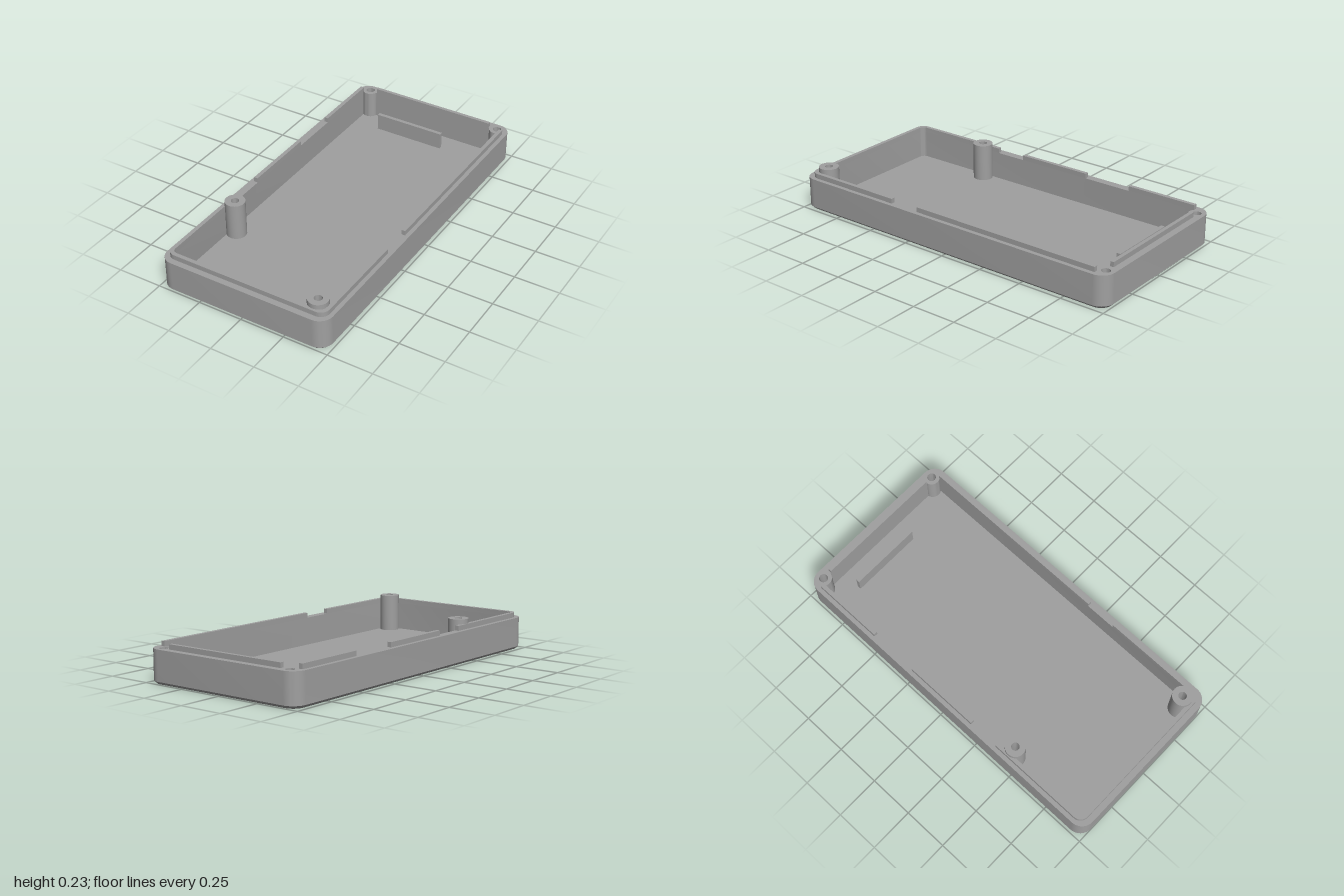
import * as THREE from 'three';
import { toCreasedNormals } from 'three/addons/utils/BufferGeometryUtils.js';

const HX = 0.488, HZ = 1, R = 0.075;          // outer half sizes and corner radius
const IX = 0.443, IZ = 0.945;                 // inner wall face
const LX = 0.465, LZ = 0.967;                 // outer face of the lip
const CHAMFER = 0.015, FLOOR = 0.025, RIM = 0.18, LIP = 0.207;

// Screw posts: position, radius, bore and height
const POSTS = [
  { name: 'backLeftPost', x: 0.417, z: -0.953, r: 0.045, bore: 0.024, top: RIM },
  { name: 'backRightPost', x: -0.417, z: -0.953, r: 0.045, bore: 0.024, top: RIM },
  { name: 'tallRightPost', x: -0.405, z: 0.455, r: 0.055, bore: 0.022, top: 0.233 },
  { name: 'tallFrontPost', x: 0.39, z: 0.9, r: 0.055, bore: 0.022, top: 0.233 },
];
const SINK = 0.035;                           // countersink radius

// Points of an arc; shapes are drawn with y = -z
function arc(cx, cy, r, a0, a1, n = 12) {
  return Array.from({ length: n + 1 }, (_, i) => {
    const a = a0 + (a1 - a0) * i / n;
    return new THREE.Vector2(cx + r * Math.cos(a), cy + r * Math.sin(a));
  });
}

function roundedRect(hx, hz, r) {
  const q = Math.PI / 2;
  return [[1, 1], [-1, 1], [-1, -1], [1, -1]].flatMap(([sx, sy], i) =>
    arc(sx * (hx - r), sy * (hz - r), r, i * q, (i + 1) * q));
}

function extrudeUp(shape, y0, y1) {
  const g = new THREE.ExtrudeGeometry(shape, { depth: y1 - y0, bevelEnabled: false });
  g.rotateX(-Math.PI / 2).translate(0, y0, 0);
  return toCreasedNormals(g, 0.5);
}

// Inner wall outline, relieved around the two back posts
function innerOutline() {
  const r = 0.03, q = Math.PI / 2, { x, z } = POSTS[0];
  const dx = IX - x, dy = -z - IZ;
  const a0 = -Math.acos(dx / SINK);
  const a1 = Math.PI - Math.asin(-dy / SINK);
  const right = arc(x, -z, SINK, a0, a1, 24);
  const left = right.map(p => new THREE.Vector2(-p.x, p.y)).reverse();
  return [...right, ...left,
    ...arc(-IX + r, -IZ + r, r, 2 * q, 3 * q),
    ...arc(IX - r, -IZ + r, r, 3 * q, 4 * q)];
}

// Sloped band between the base and the wall
function chamferBand() {
  const low = roundedRect(HX - CHAMFER, HZ - CHAMFER, R - CHAMFER);
  const high = roundedRect(HX, HZ, R);
  const pos = [], idx = [], n = low.length;
  for (let i = 0; i < n; i++) {
    pos.push(low[i].x, 0, -low[i].y, high[i].x, CHAMFER, -high[i].y);
    const a = 2 * i, b = 2 * ((i + 1) % n);
    idx.push(a, b, b + 1, a, b + 1, a + 1);
  }
  const g = new THREE.BufferGeometry();
  g.setAttribute('position', new THREE.Float32BufferAttribute(pos, 3));
  g.setIndex(idx);
  return toCreasedNormals(g, 0.5);
}

// Flat sheet with round openings at the posts
function sheet(outline, y, faceUp) {
  const shape = new THREE.Shape(outline);
  for (const p of POSTS) {
    // back post openings break the floor edge, which the wall already relieves
    shape.holes.push(new THREE.Path(arc(p.x, -p.z, SINK, 0, 2 * Math.PI, 32).slice(0, -1)));
  }
  const g = new THREE.ShapeGeometry(shape);
  g.rotateX(-Math.PI / 2).translate(0, y, 0);
  if (!faceUp) {
    const ix = g.index.array;
    for (let i = 0; i < ix.length; i += 3) [ix[i], ix[i + 1]] = [ix[i + 1], ix[i]];
    g.computeVertexNormals();
  }
  return g;
}

export function createModel() {
  const model = new THREE.Group();
  const grey = new THREE.MeshStandardMaterial({ color: 0xa0a0a0 });
  grey.name = 'plastic grey';
  const add = (name, geometry) => {
    const mesh = new THREE.Mesh(geometry, grey);
    mesh.name = name;
    model.add(mesh);
    return mesh;
  };
  const box = (name, x0, x1, y0, y1, z0, z1) =>
    add(name, new THREE.BoxGeometry(x1 - x0, y1 - y0, z1 - z0))
      .position.set((x0 + x1) / 2, (y0 + y1) / 2, (z0 + z1) / 2);

  // Tray: wall ring, chamfer, underside and inner floor
  const wall = new THREE.Shape(roundedRect(HX, HZ, R));
  wall.holes.push(new THREE.Path(innerOutline()));
  add('wall', extrudeUp(wall, CHAMFER, RIM));
  add('chamfer', chamferBand());
  add('underside', sheet(roundedRect(HX - CHAMFER, HZ - CHAMFER, R - CHAMFER), 0, false));
  add('floor', sheet(roundedRect(HX - 0.01, HZ - 0.01, R - 0.01), FLOOR, true));

  // Hollow screw posts with countersunk undersides
  for (const p of POSTS) {
    const profile = [[p.r, FLOOR - 0.005], [p.r, p.top], [p.bore, p.top], [p.bore, 0.03], [SINK, 0]]
      .map(([x, y]) => new THREE.Vector2(x, y));
    add(p.name, toCreasedNormals(new THREE.LatheGeometry(profile, 32), 0.5))
      .position.set(p.x, 0, p.z);
  }

  // Lip: a rounded U at the front, straight runs along the sides and back
  const q = Math.PI / 2, gap = -0.37, ro = 0.05, ri = 0.03;
  add('frontLip', extrudeUp(new THREE.Shape([
    new THREE.Vector2(-LX, gap),
    ...arc(-LX + ro, -LZ + ro, ro, 2 * q, 3 * q),
    ...arc(LX - ro, -LZ + ro, ro, 3 * q, 4 * q),
    new THREE.Vector2(LX, gap), new THREE.Vector2(IX, gap),
    ...arc(IX - ri, -IZ + ri, ri, 4 * q, 3 * q),
    ...arc(-IX + ri, -IZ + ri, ri, 3 * q, 2 * q),
    new THREE.Vector2(-IX, gap),
  ]), RIM, LIP));
  box('leftLip', IX, LX, RIM, LIP, -0.92, 0.195);
  box('rightMiddleLip', -LX, -IX, RIM, LIP, -0.235, 0.195);
  box('rightBackLip', -LX, -IX, RIM, LIP, -0.92, -0.515);
  box('backLip', -0.367, 0.367, RIM, LIP, -LZ + 0.004, -IZ + 0.002);

  // Upright rib near the back
  box('rib', -0.288, 0.124, FLOOR, 0.12, -0.842, -0.82);

  return model;
}
